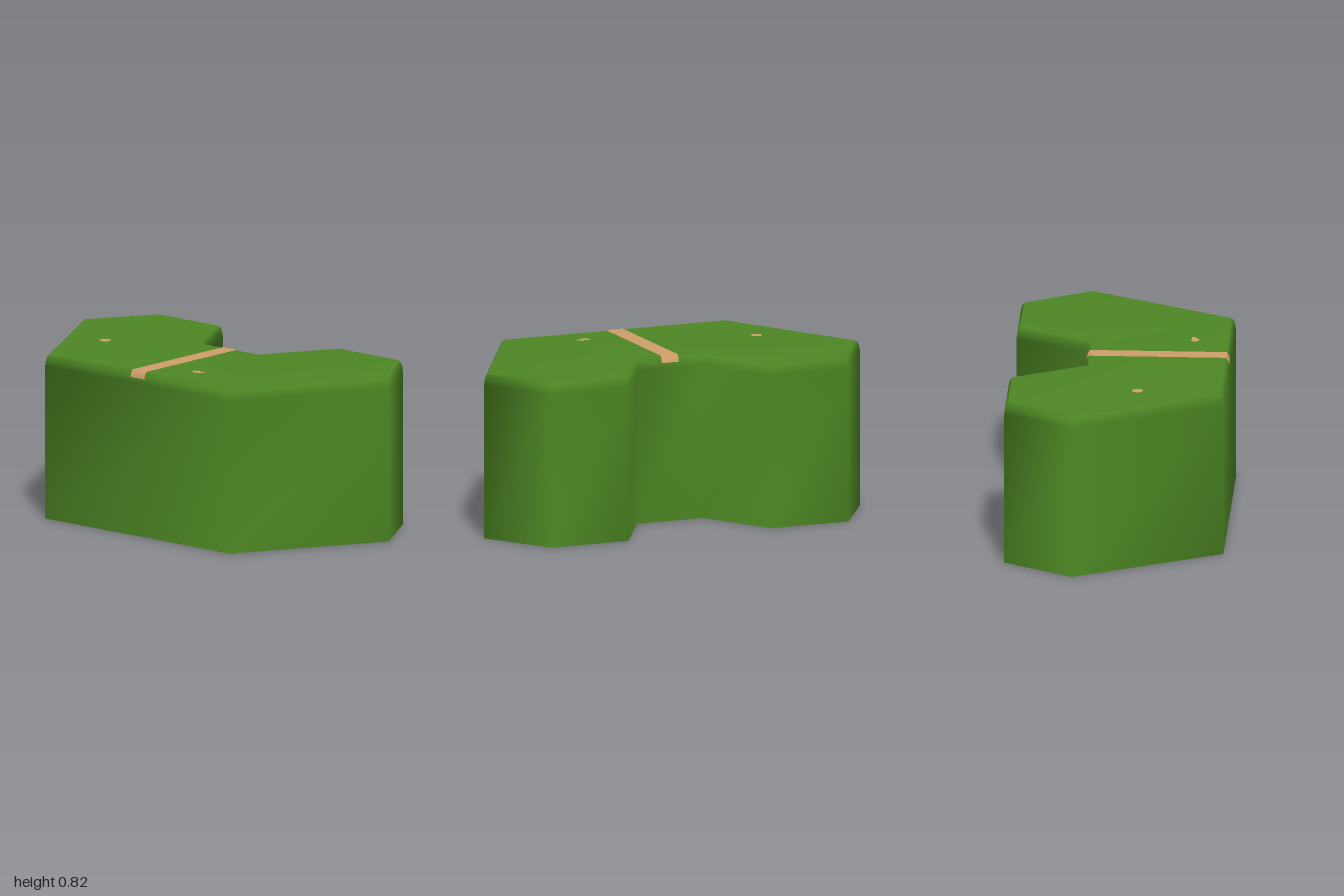
import * as THREE from 'three';

const green = new THREE.MeshStandardMaterial({ color: 0x4e8824, side: THREE.DoubleSide });
green.name = 'leaf green';
const tan = new THREE.MeshStandardMaterial({ color: 0xd09f6c, side: THREE.DoubleSide });
tan.name = 'tan';

// Half of the plan outline as [x, z], from the front corner to the notch
const half = [[0.6, 0.53], [1, -0.19], [0.79, -0.53], [0.38, -0.53], [0.175, -0.17]];
// Wall profile as [inset, y], with a rounded top edge
const profile = [[0, 0], [0, 0.76], [0.003, 0.785], [0.009, 0.806], [0.02, 0.82]];

function addMesh(group, name, geometry, material) {
  const mesh = new THREE.Mesh(geometry, material);
  mesh.name = name;
  group.add(mesh);
}

function buildGeometry(positions, index) {
  const g = new THREE.BufferGeometry();
  g.setAttribute('position', new THREE.Float32BufferAttribute(positions, 3));
  g.setIndex(index);
  g.computeVertexNormals();
  return g;
}

// Hollow shell: inset rings of the outline joined upward, capped on top, open below
function shellGeometry() {
  const mirrored = half.map(([x, z]) => [-x, z]).reverse();
  const outline = [...half, ...mirrored].map(([x, z]) => new THREE.Vector2(x, -z));
  const n = outline.length;
  const inward = outline.map((p, i) => {
    const d = outline[(i + 1) % n].clone().sub(p).normalize();
    return new THREE.Vector2(-d.y, d.x);
  });
  const rings = profile.map(([inset]) => outline.map((p, i) => {
    const a = inward[(i + n - 1) % n], b = inward[i];
    const miter = a.clone().add(b).divideScalar(1 + a.dot(b));
    return p.clone().addScaledVector(miter, inset);
  }));
  const positions = [], index = [];
  rings.forEach((ring, r) => ring.forEach((p, i) => {
    positions.push(p.x, profile[r][1], -p.y);
    if (r === rings.length - 1) return;
    const a = r * n + i, b = r * n + (i + 1) % n;
    index.push(a, b, b + n, a, b + n, a + n);
  }));
  const top = (rings.length - 1) * n;
  for (const face of THREE.ShapeUtils.triangulateShape(rings[rings.length - 1], [])) {
    index.push(...face.map((k) => top + k));
  }
  return buildGeometry(positions, index);
}

// Thin ribbon wrapped over the top from the front edge to the notch
function stripeGeometry() {
  const lift = 0.003, w = 0.045;
  const edge = profile.slice(2);
  const path = [
    ...edge.map(([inset, y]) => [y + lift, 0.53 - inset + lift]),
    ...edge.map(([inset, y]) => [y + lift, -0.17 + inset - lift]).reverse(),
  ];
  const positions = [], index = [];
  path.forEach(([y, z], i) => {
    positions.push(-w, y, z, w, y, z);
    const a = 2 * i;
    if (i) index.push(a - 2, a - 1, a + 1, a - 2, a + 1, a);
  });
  return buildGeometry(positions, index);
}

// Flat irregular spot lying on the top
function spotGeometry(points, x, z) {
  const shape = new THREE.Shape(points.map(([px, pz]) => new THREE.Vector2(px, -pz)));
  return new THREE.ShapeGeometry(shape).rotateX(-Math.PI / 2).translate(x, 0.823, z);
}

export function createModel() {
  const group = new THREE.Group();
  group.name = 'notchedBlock';
  addMesh(group, 'shell', shellGeometry(), green);
  addMesh(group, 'stripe', stripeGeometry(), tan);
  addMesh(group, 'rightSpot', spotGeometry([
    [-0.025, -0.012], [-0.012, -0.026], [0.014, -0.026], [0.026, -0.01],
    [0.026, 0.012], [0.01, 0.028], [-0.01, 0.024], [-0.027, 0.01],
  ], -0.58, 0.11), tan);
  addMesh(group, 'leftSpot', spotGeometry([
    [-0.036, -0.012], [-0.01, -0.022], [0.012, -0.016], [0.034, -0.018],
    [0.036, 0.002], [0.016, 0.01], [-0.004, 0.022], [-0.026, 0.016],
  ], 0.235, 0.35), tan);
  return group;
}
